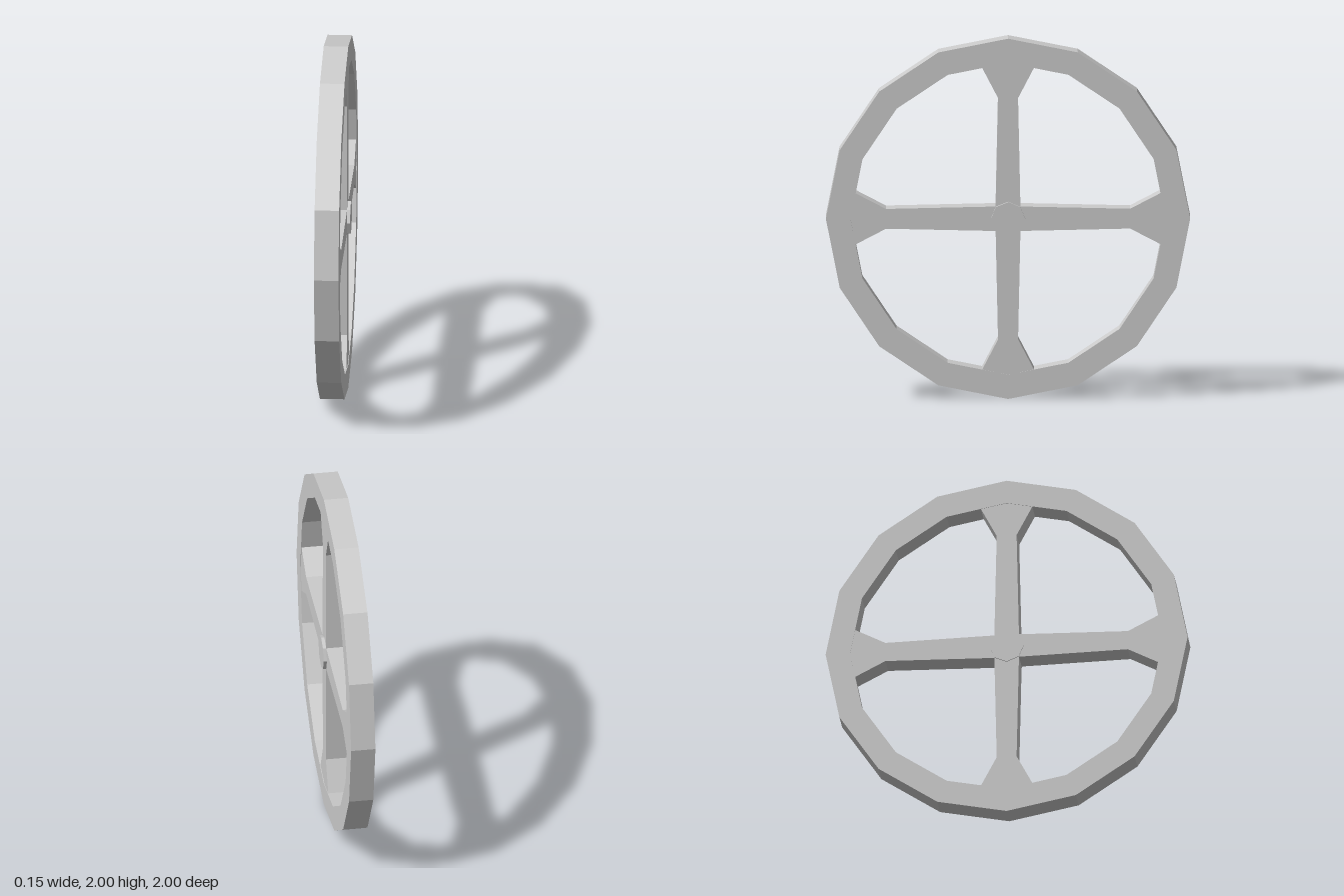
import * as THREE from 'three';

const material = new THREE.MeshStandardMaterial({ color: 0xcccccc, flatShading: true });

// Corners of a regular polygon with one corner at the top
function polygon(radius, sides) {
  return Array.from({ length: sides }, (_, i) => {
    const a = Math.PI / 2 + (i / sides) * Math.PI * 2;
    return new THREE.Vector2(Math.cos(a) * radius, Math.sin(a) * radius);
  });
}

// Extrudes a wheel-plane shape along x, from x0 to x1, about the axle at y = 1
function plate(name, shape, x0, x1) {
  const geometry = new THREE.ExtrudeGeometry(shape, { depth: x1 - x0, bevelEnabled: false });
  geometry.rotateY(Math.PI / 2);
  geometry.translate(x0, 1, 0);
  const mesh = new THREE.Mesh(geometry, material);
  mesh.name = name;
  return mesh;
}

export function createModel() {
  const wheel = new THREE.Group();
  wheel.name = 'wheel';

  // Sixteen-sided rim
  const rimShape = new THREE.Shape(polygon(1, 16));
  rimShape.holes.push(new THREE.Path(polygon(0.865, 16).reverse()));
  wheel.add(plate('rim', rimShape, -0.075, 0.06));

  // Four tapering spokes, flared where they meet the rim
  const arm = [[0.068, 0.068], [0.055, 0.67], [0.142, 0.837], [0, 0.865], [-0.142, 0.837], [-0.055, 0.67]];
  const outline = [];
  for (let i = 0; i < 4; i++) {
    for (const [x, y] of arm) {
      outline.push(new THREE.Vector2(x, y).rotateAround(new THREE.Vector2(), (i * Math.PI) / 2));
    }
  }
  wheel.add(plate('spokes', new THREE.Shape(outline), -0.072, 0.057));

  // Eight-sided hub cap standing proud on both faces
  wheel.add(plate('hub', new THREE.Shape(polygon(0.095, 8)), -0.078, 0.075));

  return wheel;
}
